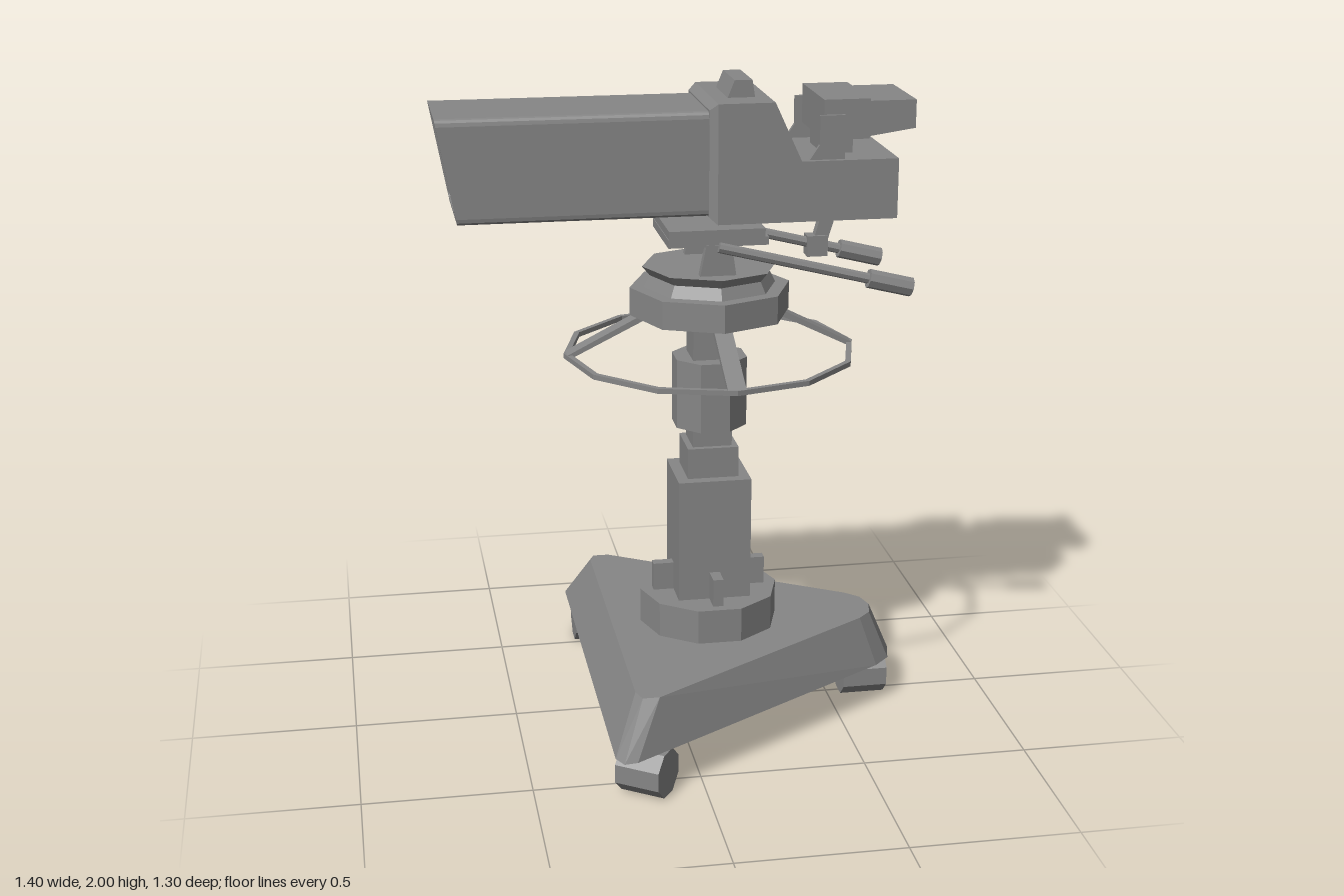
import * as THREE from 'three';
import { ConvexGeometry } from 'three/addons/geometries/ConvexGeometry.js';

const material = new THREE.MeshStandardMaterial({ color: 0x868686, flatShading: true, side: THREE.DoubleSide });
const AXIS = 0.112; // x of the pedestal column
const V = (x, y, z) => new THREE.Vector3(x, y, z);

export function createModel() {
  const model = new THREE.Group();

  const add = (name, geometry, parent = model) => {
    const mesh = new THREE.Mesh(geometry, material);
    mesh.name = name;
    parent.add(mesh);
    return mesh;
  };
  const group = (name) => {
    const g = new THREE.Group();
    g.name = name;
    model.add(g);
    return g;
  };
  // Box given by its limits on each axis
  const box = (name, x0, x1, y0, y1, z0, z1, parent) => {
    const mesh = add(name, new THREE.BoxGeometry(x1 - x0, y1 - y0, z1 - z0), parent);
    mesh.position.set((x0 + x1) / 2, (y0 + y1) / 2, (z0 + z1) / 2);
    return mesh;
  };
  // Side outline in x and y, given thickness from z0 to z1
  const slab = (name, outline, z0, z1, parent) => {
    const shape = new THREE.Shape(outline.map(([x, y]) => new THREE.Vector2(x, y)));
    const mesh = add(name, new THREE.ExtrudeGeometry(shape, { depth: z1 - z0, bevelEnabled: false }), parent);
    mesh.position.z = z0;
    return mesh;
  };
  // Cylinder between two points
  const rod = (name, a, b, radius, sides, parent) => {
    const mesh = add(name, new THREE.CylinderGeometry(radius, radius, a.distanceTo(b), sides), parent);
    mesh.position.copy(a).add(b).multiplyScalar(0.5);
    mesh.quaternion.setFromUnitVectors(V(0, 1, 0), b.clone().sub(a).normalize());
    return mesh;
  };
  // Upright many-sided turned part on the column axis
  const turned = (name, profile, sides, start) => {
    const points = profile.map(([r, y]) => new THREE.Vector2(r, y));
    const mesh = add(name, new THREE.LatheGeometry(points, sides, start));
    mesh.position.x = AXIS;
  };

  // Triangular base with sloping sides and rounded corners
  const bottom = [[-0.27, 0.61], [-0.25, 0.65], [-0.21, 0.645], [0.63, 0.13], [0.68, 0.08], [0.70, 0]];
  const top = [[-0.195, 0.5], [-0.18, 0.545], [-0.13, 0.545], [0.58, 0.1], [0.62, 0.06], [0.635, 0]];
  const ring = (half, y) => half.flatMap(([x, z]) => [V(x, y, z), V(x, y, -z)]);
  add('base', new ConvexGeometry([...ring(bottom, 0.14), ...ring(top, 0.293)]));

  // Casters: position and turn about the vertical
  for (const [x, z, turn] of [[0.612, 0, 0], [-0.18, -0.55, 0], [-0.17, 0.55, -0.6]]) {
    const wheel = new THREE.CylinderGeometry(0.0745, 0.0745, 0.14, 8);
    wheel.rotateY(Math.PI / 8).rotateZ(Math.PI / 2).rotateY(turn);
    add('caster', wheel).position.set(x, 0.069, z);
  }

  // Telescopic column
  turned('columnFoot', [[0, 0.29], [0.215, 0.29], [0.215, 0.4], [0, 0.4]], 10, Math.PI / 2);
  const section = (name, half, y0, y1) => box(name, AXIS - half, AXIS + half, y0, y1, -half, half);
  section('columnLower', 0.112, 0.39, 0.785);
  section('columnMiddle', 0.078, 0.78, 0.88);
  section('columnUpper', 0.06, 0.87, 0.95);
  turned('columnSleeve', [[0, 0.94], [0.116, 0.94], [0.116, 1.155], [0, 1.155]], 8, Math.PI / 8);
  section('columnNeck', 0.06, 1.15, 1.3);
  const ribs = group('columnRibs');
  ribs.position.x = AXIS;
  for (let i = 0; i < 4; i++) {
    const pivot = new THREE.Group();
    pivot.rotation.y = i * Math.PI / 2;
    ribs.add(pivot);
    box('rib', 0.11, 0.175, 0.4, 0.487, -0.016, 0.016, pivot);
  }

  // Flat steering ring with four sloping spokes
  turned('steeringRing', [[0.426, 1.165], [0.443, 1.165], [0.443, 1.18], [0.426, 1.18], [0.426, 1.165]], 12, 0);
  const spokes = group('steeringSpokes');
  spokes.position.x = AXIS;
  for (let i = 0; i < 4; i++) {
    const pivot = new THREE.Group();
    pivot.rotation.y = i * Math.PI / 2;
    spokes.add(pivot);
    slab('spoke', [[0.18, 1.29], [0.22, 1.29], [0.435, 1.18], [0.43, 1.167]], -0.027, 0.027, pivot);
  }

  // Pan head, cheeks and mounting plates
  turned('panHead', [[0, 1.29], [0.243, 1.29], [0.243, 1.375], [0.2, 1.375], [0.182, 1.41],
    [0.205, 1.438], [0, 1.438]], 8, 0);
  for (const side of [-1, 1]) {
    slab('tiltCheek', [[0.055, 1.43], [0.165, 1.43], [0.15, 1.53], [0.075, 1.53]],
      side * 0.132 - 0.014, side * 0.132 + 0.014);
  }
  box('lowerPlate', -0.037, 0.26, 1.525, 1.55, -0.143, 0.143);
  box('upperPlate', -0.035, 0.25, 1.55, 1.575, -0.145, 0.145);

  // Pan handles with octagonal grips
  for (const z of [0.152, -0.212]) {
    const handle = group('panHandle');
    const at = (x) => V(x, 1.525 - (x - 0.11) * 0.25, z);
    rod('handleRod', at(0.11), at(0.6), 0.016, 8, handle);
    rod('handleGrip', at(0.56), at(0.692), 0.029, 8, handle);
  }
  box('handlePivot', 0.085, 0.14, 1.475, 1.535, -0.243, -0.14);

  // Zoom lever on the far handle
  box('leverClamp', 0.455, 0.52, 1.395, 1.46, -0.24, -0.19);
  slab('leverArm', [[0.475, 1.44], [0.52, 1.44], [0.568, 1.6], [0.52, 1.6]], -0.232, -0.2);
  rod('leverGrip', V(0.537, 1.57, -0.225), V(0.537, 1.57, -0.357), 0.025, 8);

  // Camera body and its tapered front frame
  slab('cameraBody', [[0.1, 1.6], [0.632, 1.6], [0.632, 1.777], [0.345, 1.777], [0.265, 1.95], [0.1, 1.95]],
    -0.187, 0.187);
  const frame = (x, y0, y1, z) => [V(x, y0, z), V(x, y0, -z), V(x, y1, z), V(x, y1, -z)];
  add('frontFrame', new ConvexGeometry([...frame(0.077, 1.62, 1.93, 0.17), ...frame(0.1, 1.6, 1.95, 0.187)]));
  slab('topBlock', [[0.145, 1.95], [0.225, 1.95], [0.217, 2], [0.165, 2]], -0.09, 0.09);

  // Hollow lens hood with a slanted mouth
  const roundedRect = (path, w, y0, y1, r) => path
    .moveTo(-w + r, y0).lineTo(w - r, y0).quadraticCurveTo(w, y0, w, y0 + r)
    .lineTo(w, y1 - r).quadraticCurveTo(w, y1, w - r, y1)
    .lineTo(-w + r, y1).quadraticCurveTo(-w, y1, -w, y1 - r)
    .lineTo(-w, y0 + r).quadraticCurveTo(-w, y0, -w + r, y0);
  const hoodShape = roundedRect(new THREE.Shape(), 0.166, 1.62, 1.925, 0.02);
  hoodShape.holes.push(roundedRect(new THREE.Path(), 0.146, 1.64, 1.905, 0.012));
  const hood = new THREE.ExtrudeGeometry(hoodShape, { depth: 0.72, bevelEnabled: false, curveSegments: 3 });
  hood.rotateY(-Math.PI / 2).translate(0.078, 0, 0);
  const p = hood.attributes.position;
  for (let i = 0; i < p.count; i++) {
    if (p.getX(i) < -0.5) p.setX(i, -0.645 - (p.getY(i) - 1.62) * 0.185);
  }
  hood.computeVertexNormals();
  add('lensHood', hood);

  // Viewfinder on a yoke, with an open sun shade
  const finder = group('viewfinder');
  box('finderBody', 0.418, 0.555, 1.828, 1.945, -0.14, 0.14, finder);
  box('finderFoot', 0.43, 0.52, 1.775, 1.83, -0.082, 0.082, finder);
  for (const side of [-1, 1]) {
    slab('yokePlate', [[0.37, 1.775], [0.475, 1.775], [0.475, 1.905], [0.4, 1.905], [0.4, 1.82]],
      side * 0.164 - 0.006, side * 0.164 + 0.006, finder);
    slab('shadeSide', [[0.55, 1.832], [0.695, 1.853], [0.695, 1.93], [0.55, 1.936]],
      side * 0.126 - 0.004, side * 0.126 + 0.004, finder);
  }
  slab('shadeTop', [[0.55, 1.928], [0.695, 1.928], [0.695, 1.936], [0.55, 1.936]], -0.13, 0.13, finder);

  return model;
}
